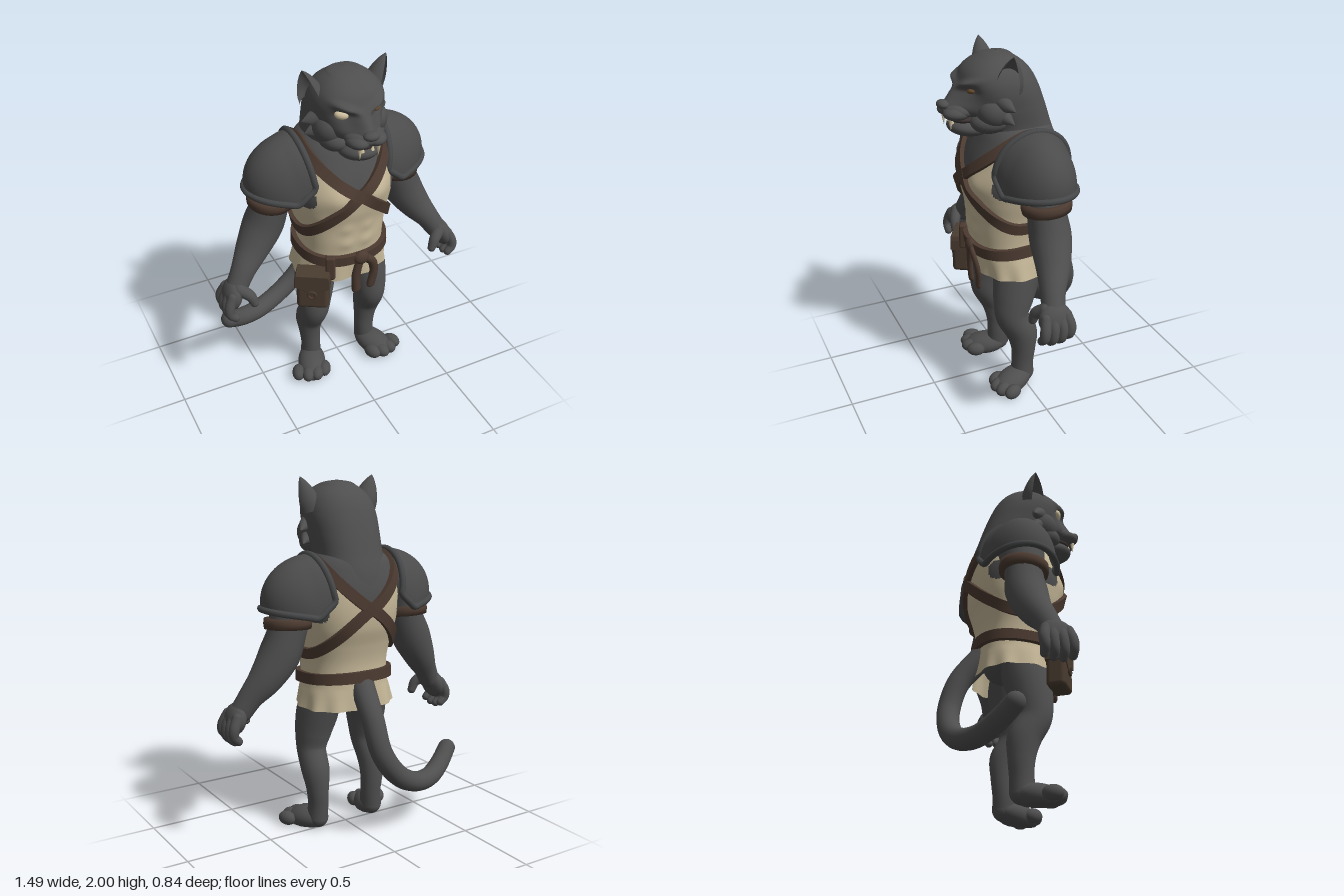
import * as THREE from 'three';
import { mergeGeometries, mergeVertices, toCreasedNormals } from 'three/addons/utils/BufferGeometryUtils.js';
import { RoundedBoxGeometry } from 'three/addons/geometries/RoundedBoxGeometry.js';

const V = (x, y, z) => new THREE.Vector3(x, y, z);
const mat = (name, color, side = THREE.FrontSide) => {
  const m = new THREE.MeshStandardMaterial({ color, side });
  m.name = name;
  return m;
};

// Smooth lookup in rows of [key, ...values]
function table(rows) {
  const n = rows[0].length - 1;
  const it = new THREE.CubicInterpolant(new Float32Array(rows.map(r => r[0])),
    new Float32Array(rows.flatMap(r => r.slice(1))), n);
  return k => Array.from(it.evaluate(k));
}

// Surface from fn(u, v); u may wrap, pick(u, v) keeps a subset of the cells
function grid(nu, nv, fn, { closed = true, pick = null } = {}) {
  const pos = [], idx = [], cols = closed ? nu : nu + 1;
  for (let j = 0; j <= nv; j++)
    for (let i = 0; i < cols; i++) pos.push(...fn(i / nu, j / nv).toArray());
  const cells = [];
  for (let j = 0; j < nv; j++)
    for (let i = 0; i < nu; i++) {
      const a = j * cols + i, b = j * cols + (i + 1) % cols;
      const cell = [a, a + cols, b, b, a + cols, b + cols];
      idx.push(...cell);
      if (!pick || pick((i + 0.5) / nu, (j + 0.5) / nv)) cells.push(...cell);
    }
  const g = new THREE.BufferGeometry();
  g.setAttribute('position', new THREE.Float32BufferAttribute(pos, 3));
  g.setIndex(idx);
  g.computeVertexNormals();
  g.setIndex(cells);
  return g;
}

// Rounded tapering tube through [x, y, z, radius]; sz stretches it in depth
function limb(pts, sz = 1, rings = 32) {
  const curve = new THREE.CatmullRomCurve3(pts.map(p => V(p[0], p[1], p[2])));
  curve.getPointAt = t => curve.getPoint(t);
  curve.getTangentAt = t => curve.getTangent(t);
  const radius = table(pts.map((p, i) => [i / (pts.length - 1), p[3]]));
  const g = new THREE.TubeGeometry(curve, rings, 1, 18), p = g.attributes.position, v = V(0, 0, 0);
  for (let i = 0; i < p.count; i++) {
    const t = Math.floor(i / 19) / rings, c = curve.getPoint(t);
    v.fromBufferAttribute(p, i).sub(c).multiplyScalar(Math.max(0.002, radius(t)[0]));
    p.setXYZ(i, c.x + v.x, c.y + v.y, c.z + v.z * sz);
  }
  const ends = [pts[0], pts[pts.length - 1]].map(e =>
    new THREE.SphereGeometry(e[3], 18, 12).scale(1, 1, sz).translate(e[0], e[1], e[2]));
  return mergeGeometries([g, ...ends]);
}

function ball(c, r, rot = [0, 0, 0]) {
  const g = new THREE.SphereGeometry(1, 28, 18).scale(...r);
  return g.rotateX(rot[0]).rotateY(rot[1]).rotateZ(rot[2]).translate(...c);
}

function mirror(geo) {
  const g = geo.index ? geo.clone() : mergeVertices(geo);
  g.scale(-1, 1, 1);
  const a = g.index.array;
  for (let i = 0; i < a.length; i += 3) [a[i], a[i + 1]] = [a[i + 1], a[i]];
  return g;
}

// Oval cross-sections: [y, half width, front z, back z]
const torsoRow = table([[0.74, 0.272, 0.225, -0.205], [0.82, 0.258, 0.23, -0.2], [0.9, 0.242, 0.235, -0.195],
  [1.0, 0.243, 0.245, -0.195], [1.1, 0.258, 0.25, -0.215], [1.2, 0.28, 0.27, -0.245], [1.3, 0.295, 0.275, -0.255],
  [1.4, 0.285, 0.25, -0.25], [1.5, 0.255, 0.205, -0.228], [1.57, 0.215, 0.165, -0.2], [1.63, 0.14, 0.11, -0.15]]);
const headRow = table([[1.4, 0.18, 0.2, -0.25], [1.5, 0.195, 0.175, -0.232], [1.6, 0.186, 0.17, -0.2],
  [1.7, 0.194, 0.235, -0.168], [1.8, 0.198, 0.28, -0.13], [1.86, 0.185, 0.285, -0.1], [1.91, 0.155, 0.255, -0.06],
  [1.95, 0.105, 0.195, -0.005], [1.97, 0.06, 0.14, 0.03], [1.978, 0.003, 0.09, 0.085]]);
function oval([w, f, b], a, y) {
  const p = t => Math.sign(t) * Math.abs(t) ** 0.85;
  return V(w * p(Math.cos(a)), y, (f + b) / 2 + (f - b) / 2 * p(Math.sin(a)));
}
// Mirrored soft bump centred on (cx, cy)
const bump = (p, cx, sx, cy, sy) => Math.exp(-(((Math.abs(p.x) - cx) / sx) ** 2) - ((p.y - cy) / sy) ** 2);

function torso(a, y) {
  const p = oval(torsoRow(y), a, y);
  const fold = 1 + 0.22 * Math.max(0, 0.86 - y) * (0.8 + Math.sin(11 * a));
  p.x *= fold;
  p.z *= fold;
  if (p.z > 0) // chest and belly muscles
    p.z += 0.018 * bump(p, 0.12, 0.07, 1.3, 0.07) + 0.007 * bump(p, 0.06, 0.04, 1.09, 0.035)
      + 0.007 * bump(p, 0.06, 0.04, 0.99, 0.035);
  return p;
}

function head(a, y) {
  const p = oval(headRow(y), a, y), front = Math.max(0, Math.sin(a));
  const browY = 1.85 + 0.35 * (Math.abs(p.x) - 0.1);
  p.z += front * (0.15 * bump(p, 0, 0.09, 1.7, 0.055) + 0.06 * bump(p, 0, 0.06, 1.775, 0.05)
    + 0.04 * bump(p, 0.115, 0.05, 1.7, 0.06)
    + 0.038 * bump(p, 0.09, 0.06, browY, 0.02) - 0.015 * bump(p, 0.1, 0.04, 1.805, 0.025));
  return p;
}

// Band lying on the torso along height(angle)
function band(height, width, thick) {
  const at = a => torso(a, height(a)), d = 0.03;
  const corners = [[1, 1], [1, -1], [-1, -1], [-1, 1]];
  const g = grid(4, 120, (u, v) => {
    const a = v * Math.PI * 2, y = height(a), c = corners[Math.round(u * 4) % 4];
    const T = at(a + d).sub(at(a - d)).normalize();
    const N = torso(a, y + d).sub(torso(a, y - d)).cross(torso(a + d, y).sub(torso(a - d, y))).normalize();
    const B = T.clone().cross(N).normalize();
    return at(a).addScaledVector(N, 0.008 + c[0] * thick / 2).addScaledVector(B, c[1] * width / 2);
  });
  return toCreasedNormals(g, 0.7);
}

export function createModel() {
  const model = new THREE.Group();
  model.name = 'pantherWarrior';
  const fur = mat('darkFur', 0x4e4e4e, THREE.DoubleSide), plate = mat('plate', 0x4b4b4c, THREE.DoubleSide);
  const trim = mat('plateTrim', 0x464748), cloth = mat('vestCloth', 0xc5b798, THREE.DoubleSide);
  const leather = mat('leather', 0x4b3a30), pouchLeather = mat('pouchLeather', 0x4a3c30);
  const ivory = mat('ivory', 0xd6c7a4), amber = mat('amberEye', 0x664a2c), dark = mat('mouth', 0x3a3332);
  const add = (name, geo, m, parent = model) => {
    const mesh = new THREE.Mesh(geo, m);
    mesh.name = name;
    parent.add(mesh);
  };
  const pair = (name, geo, m) => {
    add(name + 'Left', geo, m);
    add(name + 'Right', mirror(geo), m);
  };

  // Torso: fur above the crossed straps and at the armpits, cloth elsewhere
  const isFur = (u, v) => {
    const c = Math.abs(Math.cos(u * Math.PI * 2)), y = 0.74 + 0.89 * v;
    return y > 1.31 + 0.26 * c || ((c - 0.9) / 0.2) ** 2 + ((y - 1.3) / 0.06) ** 2 < 1;
  };
  const body = (u, v) => torso(u * Math.PI * 2, 0.74 + 0.89 * v);
  add('chest', grid(160, 110, body, { pick: isFur }), fur);
  add('vest', grid(160, 110, body, { pick: (u, v) => !isFur(u, v) }), cloth);
  add('pelvis', ball([0, 0.85, 0], [0.2, 0.12, 0.16]), fur);

  // Straps and belt
  add('chestStrapLeft', band(a => 1.31 + 0.255 * Math.cos(a), 0.06, 0.03), leather);
  add('chestStrapRight', band(a => 1.31 - 0.255 * Math.cos(a), 0.06, 0.032), leather);
  add('belt', band(a => 0.908 - 0.02 * Math.sin(a), 0.06, 0.04), leather);
  add('beltKnot', ball([0.025, 0.888, 0.258], [0.046, 0.042, 0.03]), leather);
  add('beltEndRight', limb([[0.015, 0.88, 0.262, 0.026], [-0.005, 0.77, 0.255, 0.028], [0.0, 0.67, 0.25, 0.028]], 0.5), leather);
  add('beltEndLeft', limb([[0.04, 0.888, 0.265, 0.026], [0.085, 0.85, 0.265, 0.026], [0.108, 0.77, 0.252, 0.027],
    [0.095, 0.67, 0.245, 0.027]], 0.5), leather);

  // Hip pouch
  const pouch = new THREE.Group();
  pouch.name = 'pouch';
  pouch.position.set(-0.245, 0.73, 0.2);
  pouch.rotation.y = -0.55;
  model.add(pouch);
  add('pouchBody', new RoundedBoxGeometry(0.18, 0.22, 0.105, 4, 0.025).translate(0, -0.005, 0), pouchLeather, pouch);
  const flap = new THREE.Shape([[-0.088, 0.112], [-0.094, 0.09], [-0.095, 0.035], [-0.05, 0.02], [0, -0.015], [0.05, 0.02],
    [0.095, 0.035], [0.094, 0.09], [0.088, 0.112]].map(p => new THREE.Vector2(...p)));
  add('pouchFlap', new THREE.ExtrudeGeometry(flap, { depth: 0.1, bevelSize: 0.004, bevelThickness: 0.006 })
    .translate(0, 0, -0.048), pouchLeather, pouch);
  add('pouchClasp', new THREE.TorusGeometry(0.022, 0.007, 8, 20).translate(0, -0.01, 0.06), leather, pouch);
  add('pouchHanger', new RoundedBoxGeometry(0.055, 0.15, 0.04, 3, 0.012).rotateY(-0.5).translate(-0.155, 0.86, 0.235), leather);

  // Neck, skull and face
  add('headAndNeck', grid(120, 100, (u, v) => head(u * Math.PI * 2, 1.4 + 0.578 * (1 - (1 - v) ** 1.5))), fur);
  add('muzzle', ball([0, 1.695, 0.295], [0.105, 0.05, 0.1]), fur);
  add('nose', ball([0, 1.728, 0.385], [0.044, 0.024, 0.034]), fur);
  add('mouth', ball([0, 1.645, 0.265], [0.085, 0.028, 0.09]), dark);
  add('jaw', ball([0, 1.594, 0.245], [0.108, 0.054, 0.12], [-0.1, 0, 0]), fur);
  pair('jowl', ball([0.095, 1.635, 0.16], [0.085, 0.065, 0.11]), fur);
  pair('lip', ball([0.045, 1.685, 0.325], [0.062, 0.038, 0.075]), fur);
  pair('cheek', ball([0.115, 1.695, 0.15], [0.09, 0.09, 0.095]), fur);
  pair('cheekTuftUpper', limb([[0.13, 1.765, 0.13, 0.062], [0.195, 1.735, 0.105, 0.035], [0.235, 1.715, 0.08, 0.004]]), fur);
  pair('cheekTuftLower', limb([[0.13, 1.69, 0.13, 0.06], [0.185, 1.665, 0.105, 0.034], [0.22, 1.642, 0.08, 0.004]]), fur);
  add('eyeLeft', ball([0.088, 1.806, 0.262], [0.026, 0.014, 0.018], [0, 0.35, 0.2]), amber);
  add('eyeRight', ball([-0.1, 1.808, 0.257], [0.038, 0.025, 0.022], [0, -0.35, -0.2]), ivory);
  pair('upperFang', new THREE.ConeGeometry(0.015, 0.075, 10).rotateX(Math.PI).translate(0.052, 1.632, 0.364), ivory);
  pair('lowerFang', new THREE.ConeGeometry(0.011, 0.045, 10).translate(0.028, 1.645, 0.345), ivory);

  // Cupped ears opening forward and outward
  const earProfile = [[0.07, 0], [0.066, 0.055], [0.046, 0.115], [0.022, 0.16], [0.002, 0.185]];
  const ear = new THREE.LatheGeometry(new THREE.SplineCurve(earProfile.map(p => new THREE.Vector2(...p))).getPoints(14),
    28, 1.95, Math.PI * 1.3);
  pair('ear', ear.rotateZ(-0.32).translate(0.175, 1.824, 0.088), fur);

  // Shoulder plates: quarter domes with a raised rim and a low front corner
  const mix = THREE.MathUtils.lerp;
  const pad = (a, e) => {
    const nx = Math.cos(a) * Math.cos(e), ny = Math.sin(e), nz = Math.sin(a) * Math.cos(e);
    const dip = nx < 0.28 ? mix(0.05, -0.035, nx / 0.28) : mix(-0.035, 0, (nx - 0.28) / 0.72);
    return V(0.215 + 0.31 * nx + 0.035 * ny, 1.322 + 0.277 * ny + dip * (1 - ny), -0.025 + 0.215 * nz);
  };
  const h = Math.PI / 2;
  pair('shoulderPlate', grid(36, 20, (u, v) => pad(h * (2 * u - 1), h * v), { closed: false }), plate);
  const rim = [];
  for (let i = 0; i < 20; i++) rim.push(pad(h * (1 - i / 10), 0));
  for (let i = 0; i < 10; i++) rim.push(pad(-h, h * i / 10));
  for (let i = 10; i > 0; i--) rim.push(pad(h, h * i / 10));
  pair('shoulderRim', new THREE.TubeGeometry(new THREE.CatmullRomCurve3(rim, true), 100, 0.018, 8, true), trim);

  // Arms, arm bands and hands
  pair('arm', limb([[0.29, 1.44, -0.03, 0.13], [0.355, 1.33, -0.03, 0.122], [0.385, 1.21, -0.03, 0.105],
    [0.437, 1.075, -0.03, 0.113], [0.515, 0.945, -0.01, 0.093], [0.588, 0.845, 0.025, 0.069],
    [0.635, 0.77, 0.045, 0.062]]), fur);
  const cuff = new THREE.LatheGeometry([[0.1, -0.028], [0.128, -0.028], [0.132, 0], [0.128, 0.028], [0.1, 0.028]]
    .map(p => new THREE.Vector2(...p)), 40);
  pair('armBand', cuff.scale(0.98, 1, 1.04).rotateX(0.08).rotateZ(0.04).translate(0.385, 1.24, -0.03), leather);
  pair('palm', ball([0.672, 0.73, 0.052], [0.052, 0.088, 0.092], [0, 0, 0.25]), fur);
  for (const [i, z] of [0.124, 0.075, 0.026, -0.02].entries()) {
    const drop = i === 0 || i === 3 ? 0.015 : 0;
    pair('finger', limb([[0.685, 0.75, z * 0.8 + 0.01, 0.03], [0.713, 0.69, z, 0.029],
      [0.712, 0.635 + drop, z + 0.005, 0.027], [0.685, 0.606 + drop, z + 0.008, 0.023]], 1, 14), fur);
  }
  pair('thumb', limb([[0.64, 0.775, 0.09, 0.038], [0.59, 0.735, 0.122, 0.031], [0.57, 0.685, 0.13, 0.024]], 1, 14), fur);

  // Legs, feet and toes
  pair('leg', limb([[0.135, 0.84, 0.01, 0.085], [0.16, 0.71, 0.038, 0.113], [0.177, 0.58, 0.065, 0.101],
    [0.185, 0.47, 0.075, 0.082], [0.192, 0.35, 0.018, 0.078], [0.187, 0.24, 0.005, 0.062],
    [0.182, 0.14, 0.008, 0.056], [0.185, 0.062, 0.012, 0.06]], 1.18, 48), fur);
  const foot = ball([0.212, 0.045, 0.085], [0.083, 0.068, 0.135], [0.15, 0.4, 0]);
  const fp = foot.attributes.position;
  for (let i = 0; i < fp.count; i++) fp.setY(i, Math.max(0.002, fp.getY(i)));
  pair('foot', foot, fur);
  for (const [x, z] of [[0.165, 0.165], [0.22, 0.178], [0.272, 0.165], [0.32, 0.13]])
    pair('toe', ball([x, 0.042, z], [0.038, 0.041, 0.056], [0, 0.4, 0]), fur);

  // Tail sweeping down and round to the right
  add('tail', limb([[0, 0.87, -0.17, 0.07], [0.012, 0.71, -0.295, 0.064], [-0.01, 0.53, -0.35, 0.062],
    [-0.11, 0.385, -0.355, 0.06], [-0.25, 0.3, -0.325, 0.058], [-0.41, 0.275, -0.265, 0.057],
    [-0.54, 0.315, -0.2, 0.055], [-0.635, 0.375, -0.145, 0.052]], 1, 60), fur);

  return model;
}
